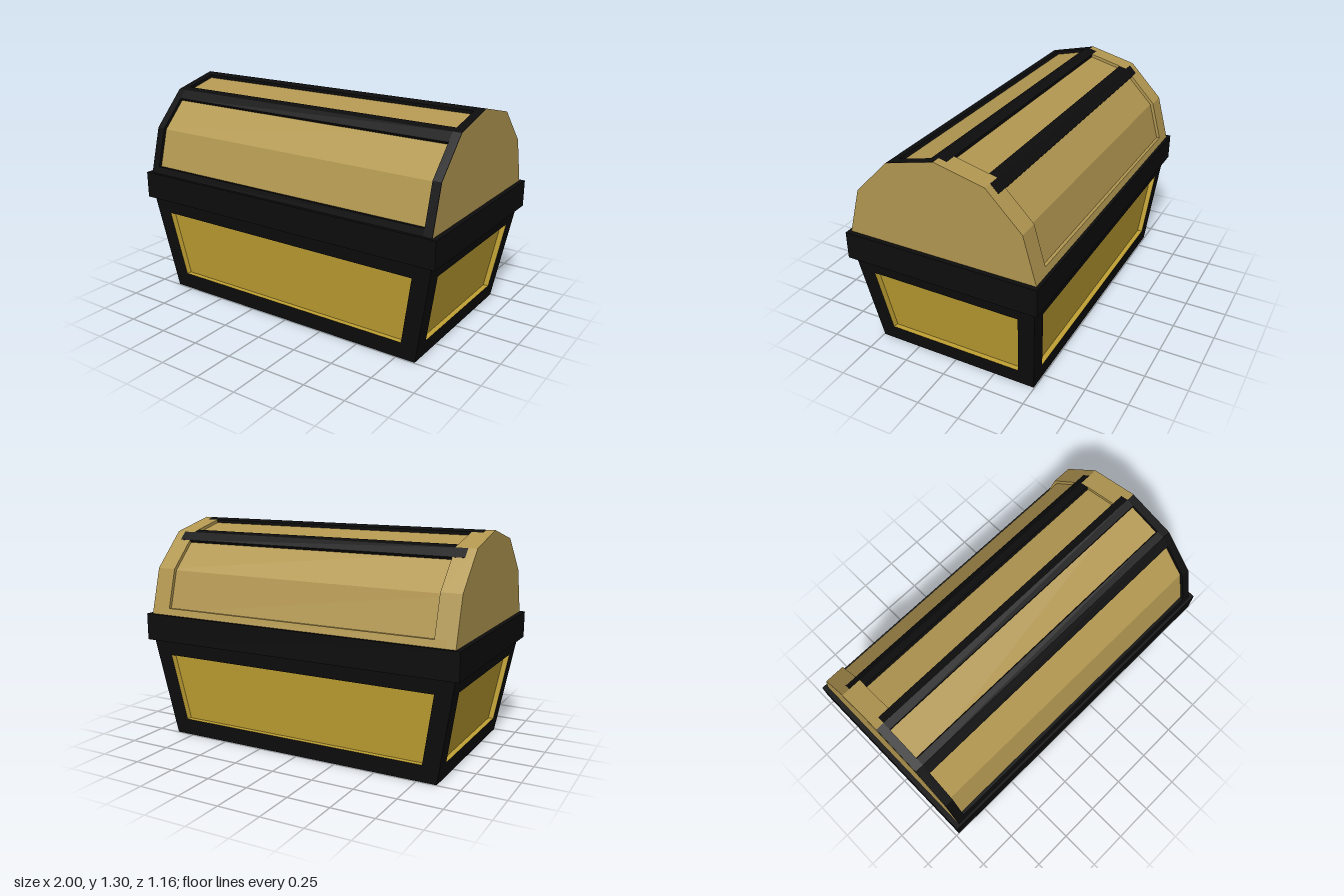
import * as THREE from 'three';

const mat = (color) => new THREE.MeshStandardMaterial({ color, flatShading: true });
const black = mat(0x0d0d0d);
const gold = mat(0xc2a233);
const tan = mat(0xb39851);

function addMesh(group, name, geometry, material) {
  const mesh = new THREE.Mesh(geometry, material);
  mesh.name = name;
  group.add(mesh);
  return mesh;
}

// Geometry from quads, each with four corners anticlockwise seen from outside
function quads(list) {
  const pos = [];
  for (const [a, b, c, d] of list) for (const p of [a, b, c, a, c, d]) pos.push(...p);
  const g = new THREE.BufferGeometry();
  g.setAttribute('position', new THREE.Float32BufferAttribute(pos, 3));
  g.computeVertexNormals();
  return g;
}

// Quads joining two loops of four corners
const ring = (outer, inner) => outer.map((p, i) => {
  const j = (i + 1) % 4;
  return [p, outer[j], inner[j], inner[i]];
});

// Half width and half depth of the flared box at height y
const halfX = (y) => 0.865 + 0.175 * y;
const halfZ = (y) => 0.495 + 0.092 * y;

// One wall facing +z: a frame around a sunken panel
function wall(w, d, border) {
  const loop = (y0, y1, inset, sink) => [
    [-w(y0) + inset, y0, d(y0) - sink], [w(y0) - inset, y0, d(y0) - sink],
    [w(y1) - inset, y1, d(y1) - sink], [-w(y1) + inset, y1, d(y1) - sink],
  ];
  const outer = loop(0, 0.6, 0, 0);
  const edge = loop(0.1, 0.51, border, 0);
  const floor = loop(0.1, 0.51, border + 0.005, 0.03);
  const g = new THREE.Group();
  addMesh(g, 'wallFrame', quads(ring(outer, edge)), black);
  addMesh(g, 'wallPanel', quads([...ring(edge, floor), floor]), gold);
  return g;
}

// Lid profile as [z, y], from front to back
const profile = [[0.56, 0.76], [0.485, 1.03], [0.285, 1.235], [0, 1.305],
  [-0.285, 1.235], [-0.485, 1.03], [-0.56, 0.76]];
const shrink = ([z, y]) => [z * 0.965, 0.76 + (y - 0.76) * 0.965];
const toShape = (pts) => new THREE.Shape(pts.map(([z, y]) => new THREE.Vector2(-z, y)));

// Extrude a [z, y] outline along x from x0 to x1
function alongX(pts, x0, x1) {
  const g = new THREE.ExtrudeGeometry(toShape(pts), { depth: x1 - x0, bevelEnabled: false });
  return g.rotateY(Math.PI / 2).translate(x0, 0, 0);
}

// Raised band that follows part of the lid profile
const band = (pts, x0, x1) => alongX([...pts, ...pts.map(shrink).reverse()], x0, x1);

export function createModel() {
  const model = new THREE.Group();
  model.name = 'chest';

  // Flared lower box
  const base = new THREE.Group();
  base.name = 'base';
  for (let i = 0; i < 4; i++) {
    const side = i % 2 ? wall(halfZ, halfX, 0.095) : wall(halfX, halfZ, 0.1);
    side.name = ['frontWall', 'leftWall', 'backWall', 'rightWall'][i];
    side.rotation.y = i * Math.PI / 2;
    base.add(side);
  }
  const x = halfX(0), z = halfZ(0);
  addMesh(base, 'bottom', quads([[[-x, 0, -z], [x, 0, -z], [x, 0, z], [-x, 0, z]]]), gold);
  model.add(base);

  // Rim between box and lid
  const rim = new THREE.BoxGeometry(2, 0.16, 1.156).translate(0, 0.68, 0);
  addMesh(model, 'rim', rim, black);

  // Faceted lid: sunken boards under raised bands
  const lid = new THREE.Group();
  lid.name = 'lid';
  addMesh(lid, 'lidBoards', alongX(profile.map(shrink), -0.96, 0.96), tan);

  for (const s of [-1, 1]) {
    const span = (a, b) => (s > 0 ? [a, b] : [-b, -a]);
    addMesh(lid, 'frontArch', band(profile.slice(0, 4), ...span(0.92, 0.97)), black);
    addMesh(lid, 'backArch', band(profile.slice(3), ...span(0.85, 0.97)), tan);
    const end = new THREE.ShapeGeometry(toShape(profile)).rotateY(s * Math.PI / 2);
    addMesh(lid, 'lidEnd', end.translate(s * 0.972, 0, 0), tan);
  }

  // Lengthwise ribs over the ridge, the shoulders and the lower edges
  addMesh(lid, 'ridgeRib', band([[0.045, 1.294], [0, 1.305], [-0.045, 1.294]], -0.92, 0.92), black);
  const shoulder = [[0.33, 1.19], [0.285, 1.235], [0.24, 1.246]];
  const lower = [[0.56, 0.76], [0.549, 0.8]];
  const mirror = (pts) => pts.map(([pz, py]) => [-pz, py]).reverse();
  addMesh(lid, 'frontShoulderRib', band(shoulder, -0.92, 0.92), black);
  addMesh(lid, 'backShoulderRib', band(mirror(shoulder), -0.92, 0.92), black);
  addMesh(lid, 'frontLowerRib', band(lower, -0.92, 0.92), black);
  addMesh(lid, 'backLowerRib', band(mirror(lower), -0.92, 0.92), tan);
  model.add(lid);

  return model;
}
